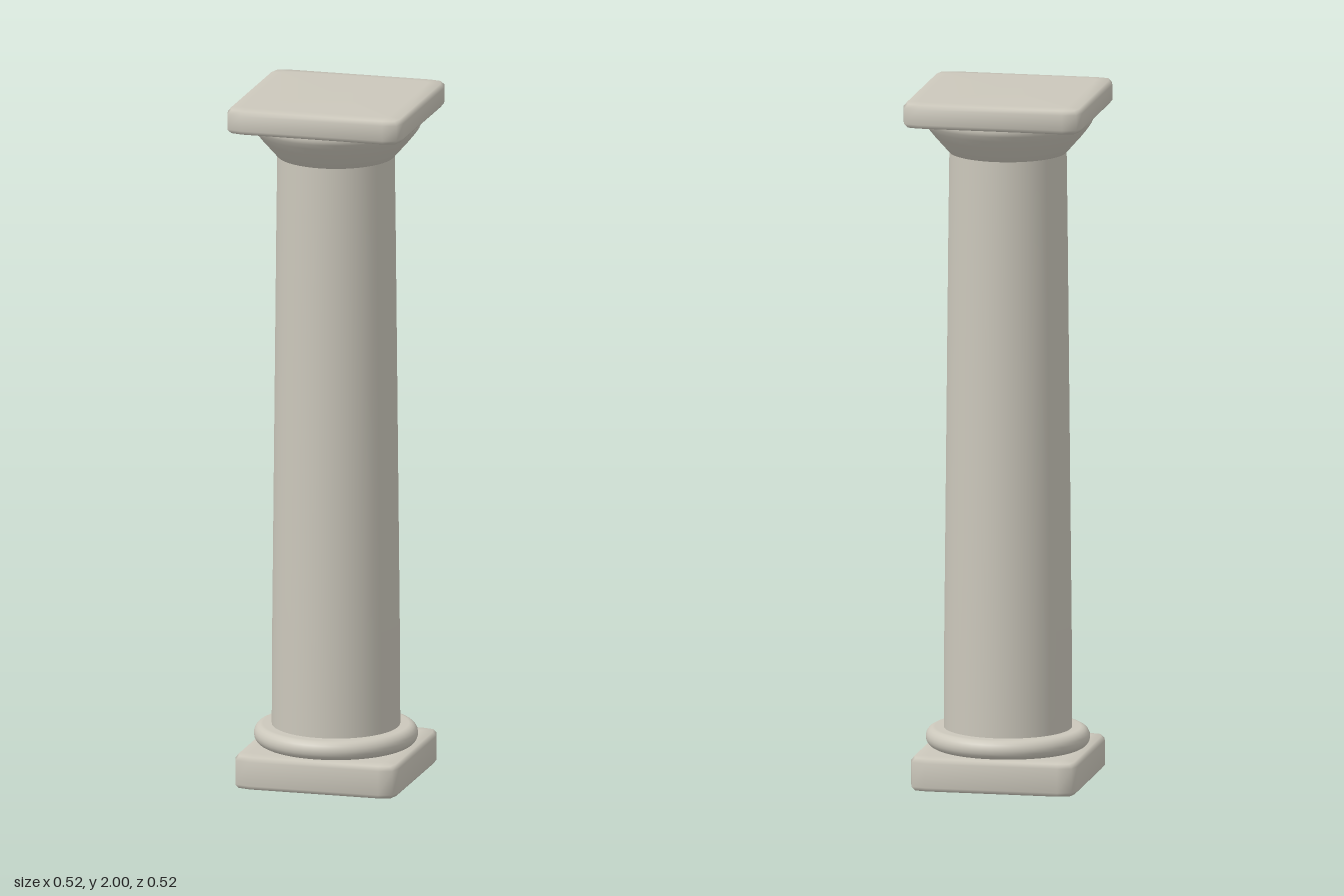
import * as THREE from 'three';

const stone = new THREE.MeshStandardMaterial({ color: 0xcbc7bb });
stone.name = 'pale stone';

// Square slab with bevelled corners and softened edges, lofted from inset rings
function slab(name, half, y0, y1) {
  const bevel = 0.015;
  const rings = [
    [0.045, y0], [0.01, y0 + bevel * 0.2], [0, y0 + bevel],
    [0, y1 - bevel], [0.01, y1 - bevel * 0.2], [0.045, y1],
  ];
  const positions = [], index = [], n = 12;
  for (const [inset, y] of rings) {
    const h = half - inset;
    const cut = 0.05 - inset * 0.8;
    // Three points per corner, counter-clockwise seen from above
    const corner = [[h, h - cut], [h - cut * 0.2, h - cut * 0.2], [h - cut, h]];
    for (let q = 0; q < 4; q++) {
      const c = [1, 0, -1, 0][q], s = [0, 1, 0, -1][q];
      for (const [a, b] of corner) positions.push(a * c - b * s, y, -(a * s + b * c));
    }
  }
  for (let r = 0; r < rings.length - 1; r++) {
    for (let i = 0; i < n; i++) {
      const a = r * n + i, b = r * n + (i + 1) % n;
      index.push(a, b, b + n, a, b + n, a + n);
    }
  }
  // Flat bottom and top faces
  const bottom = positions.length / 3, top = bottom + 1, last = (rings.length - 1) * n;
  positions.push(0, y0, 0, 0, y1, 0);
  for (let i = 0; i < n; i++) {
    const j = (i + 1) % n;
    index.push(bottom, j, i, top, last + i, last + j);
  }
  const geometry = new THREE.BufferGeometry();
  geometry.setAttribute('position', new THREE.Float32BufferAttribute(positions, 3));
  geometry.setIndex(index);
  geometry.computeVertexNormals();
  const mesh = new THREE.Mesh(geometry, stone);
  mesh.name = name;
  return mesh;
}

// Round part turned from a profile of [radius, height] points, bottom to top
function turned(name, profile) {
  const points = profile.map(([r, y]) => new THREE.Vector2(r, y));
  const mesh = new THREE.Mesh(new THREE.LatheGeometry(points, 48), stone);
  mesh.name = name;
  return mesh;
}

export function createModel() {
  const column = new THREE.Group();
  column.name = 'column';

  column.add(slab('plinth', 0.242, 0, 0.1));

  // Rounded ring around the foot of the shaft
  const ring = [[0.17, 0.098]];
  for (let i = 0; i <= 10; i++) {
    const a = -Math.PI / 2 + (Math.PI * i) / 10;
    ring.push([0.208 + 0.026 * Math.cos(a), 0.127 + 0.028 * Math.sin(a)]);
  }
  ring.push([0.17, 0.155]);
  column.add(turned('baseRing', ring));

  // Gently tapering shaft
  column.add(turned('shaft', [
    [0.183, 0.14], [0.182, 0.4], [0.179, 0.7], [0.176, 1.0],
    [0.173, 1.3], [0.17, 1.6], [0.167, 1.84],
  ]));

  // Flaring capital under the top slab
  column.add(turned('capital', [
    [0.16, 1.823], [0.168, 1.824], [0.19, 1.849], [0.212, 1.874],
    [0.229, 1.895], [0.239, 1.91], [0.243, 1.92], [0.242, 1.928],
  ]));

  column.add(slab('topSlab', 0.26, 1.926, 2));
  return column;
}
